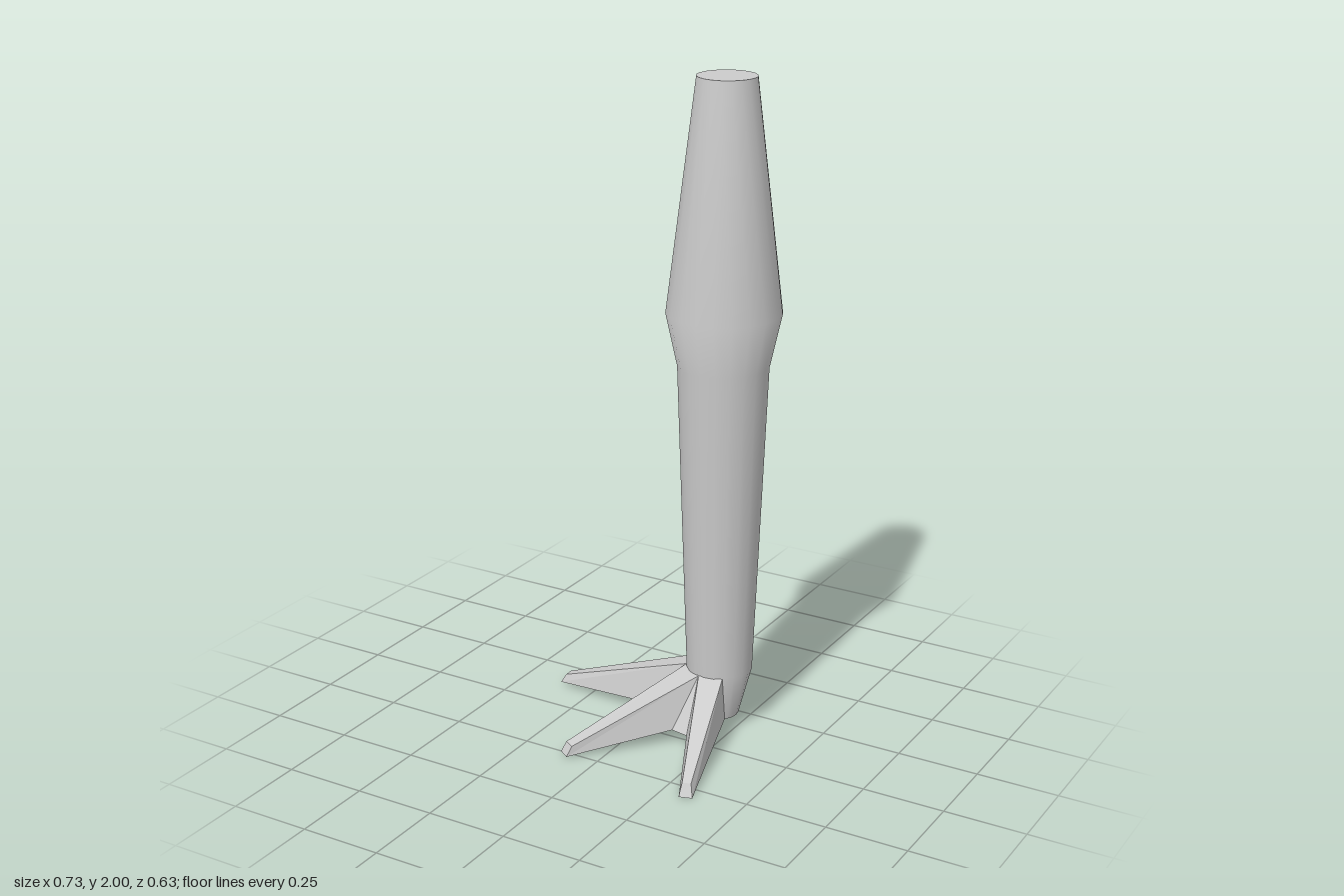
import * as THREE from 'three';

const LEG_X = 0.194, LEG_Z = -0.145, SIDES = 20;
const SOLE = 0.045, ANKLE = 0.2;

// Flat-shaded mesh from convex faces, each a loop of [x, y, z] corners
function facetMesh(name, faces, material) {
  const pos = [];
  for (const f of faces) {
    for (let i = 1; i < f.length - 1; i++) pos.push(...f[0], ...f[i], ...f[i + 1]);
  }
  const geo = new THREE.BufferGeometry();
  geo.setAttribute('position', new THREE.Float32BufferAttribute(pos, 3));
  geo.computeVertexNormals();
  const mesh = new THREE.Mesh(geo, material);
  mesh.name = name;
  return mesh;
}

// Tapered toe: root and tip are rings of four corners
function toe(name, root, tip, material) {
  const faces = root.map((r, i) => {
    const j = (i + 1) % 4;
    return [r, tip[i], tip[j], root[j]];
  });
  faces.push([...tip].reverse());
  return facetMesh(name, faces, material);
}

export function createModel() {
  const smooth = new THREE.MeshStandardMaterial({ color: 0xcccccc });
  const flat = new THREE.MeshStandardMaterial({ color: 0xcccccc, flatShading: true });
  const model = new THREE.Group();
  model.name = 'birdLeg';

  // Leg: thigh, knee, shank and heel in one turned profile
  const profile = [[0.06, SOLE], [0.1, ANKLE], [0.135, 1.16], [0.17, 1.32], [0.087, 2]];
  const leg = new THREE.Mesh(
    new THREE.LatheGeometry(profile.map(([r, y]) => new THREE.Vector2(r, y)), SIDES), smooth);
  leg.name = 'leg';
  leg.position.set(LEG_X, 0, LEG_Z);
  model.add(leg);

  // End caps
  const cap = (name, r, y, up) => {
    const mesh = new THREE.Mesh(new THREE.CircleGeometry(r, SIDES), flat);
    mesh.name = name;
    mesh.rotation.x = up ? -Math.PI / 2 : Math.PI / 2;
    mesh.position.set(LEG_X, y, LEG_Z);
    model.add(mesh);
  };
  cap('legTop', 0.087, 2, true);
  cap('heelSole', 0.06, SOLE, false);

  // Corners where the toes meet the ankle (tops) and the sole (bottoms)
  const tops = [[0.1, -0.175], [0.105, -0.1], [0.177, -0.045], [0.25, -0.06]]
    .map(([x, z]) => [x, ANKLE, z]);
  const soles = [[0.14, -0.17], [0.015, -0.08], [0.04, -0.035], [0.135, 0.04], [0.19, 0.05], [0.235, -0.11]]
    .map(([x, z]) => [x, SOLE, z]);

  // Toe tips: two upper corners, then two lower ones
  const tips = [
    [[-0.35, 0.037, -0.16], [-0.35, 0.037, -0.13], [-0.365, 0.01, -0.123], [-0.365, 0.01, -0.165]],
    [[-0.111, 0.035, 0.246], [-0.08, 0.035, 0.265], [-0.09, 0.004, 0.28], [-0.123, 0.004, 0.257]],
    [[0.312, 0.037, 0.292], [0.337, 0.037, 0.284], [0.35, 0, 0.3], [0.312, 0, 0.312]],
  ];
  ['rightToe', 'middleToe', 'leftToe'].forEach((name, i) => {
    const root = [tops[i], tops[i + 1], soles[2 * i + 1], soles[2 * i]];
    model.add(toe(name, root, tips[i], flat));
  });

  // Sole and the webs between neighbouring toes
  model.add(facetMesh('palm', [
    [...soles].reverse(),
    [tops[1], soles[1], soles[2]],
    [tops[2], soles[3], soles[4]],
  ], flat));

  return model;
}
